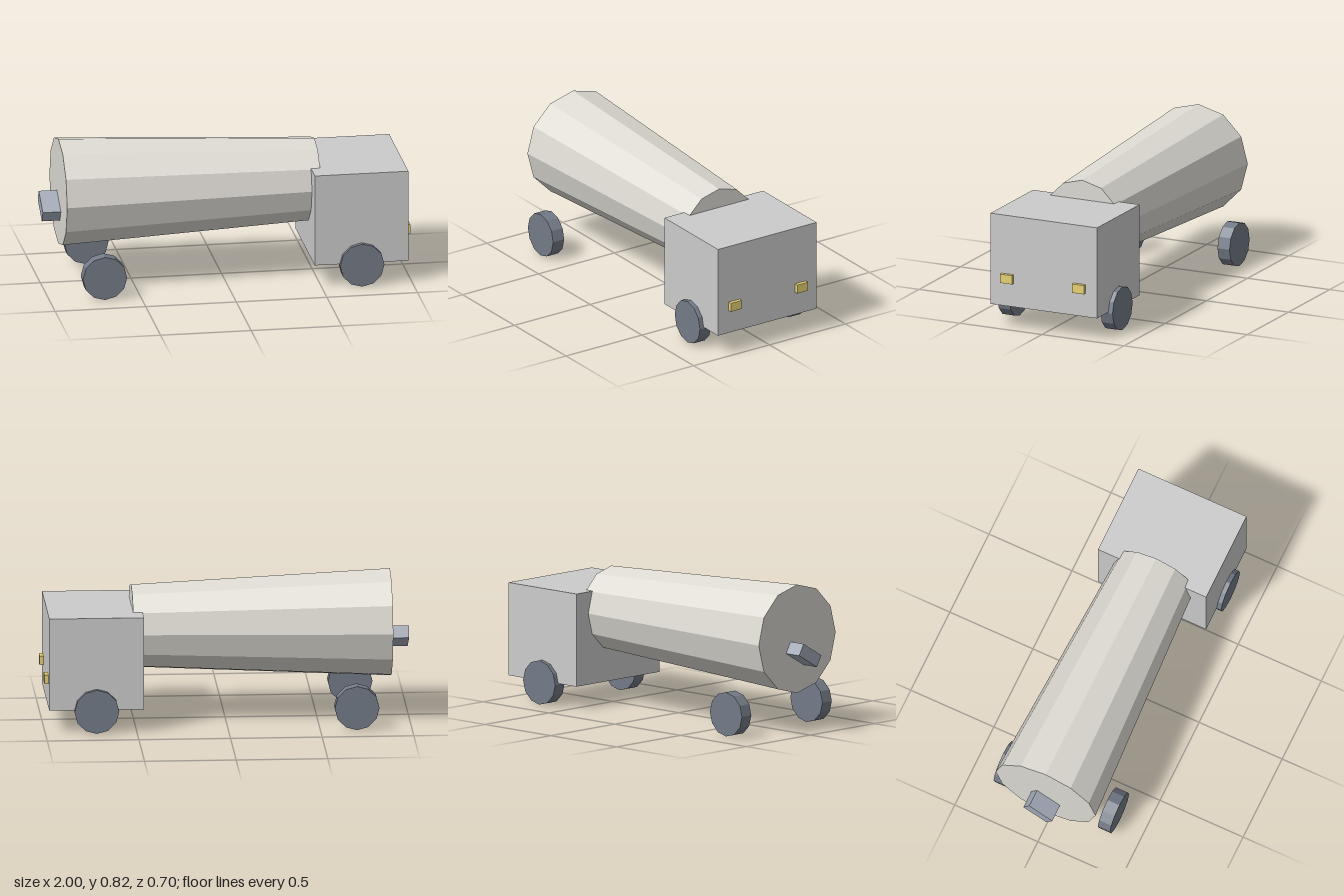
import * as THREE from 'three';

const paint = (color) => new THREE.MeshStandardMaterial({ color, flatShading: true });

export function createModel() {
  const truck = new THREE.Group();
  truck.name = 'tankTruck';

  const add = (name, geometry, material, x, y, z) => {
    const mesh = new THREE.Mesh(geometry, material);
    mesh.name = name;
    mesh.position.set(x, y, z);
    truck.add(mesh);
    return mesh;
  };

  // Cab
  add('cab', new THREE.BoxGeometry(0.517, 0.513, 0.65), paint(0xcccccc), 0.72, 0.384, 0);

  // Tapered twelve-sided tank, wide end at the back
  const tank = new THREE.CylinderGeometry(0.3, 0.23, 1.413, 12).rotateZ(Math.PI / 2);
  add('tank', tank, paint(0xdedbd4), -0.194, 0.52, 0);

  // Tilted chute on the tank's end
  const chute = add('chute', new THREE.BoxGeometry(0.14, 0.07, 0.16), paint(0xa4abb8), -0.93, 0.44, 0);
  chute.rotation.x = Math.PI / 6;

  // Wheels and headlights, mirrored across z
  const wheel = new THREE.CylinderGeometry(0.122, 0.122, 0.073, 12).rotateX(Math.PI / 2);
  const lamp = new THREE.BoxGeometry(0.04, 0.05, 0.072);
  const rubber = paint(0x747b87);
  const yellow = paint(0xe8d275);
  for (const side of [1, -1]) {
    const label = side > 0 ? 'Near' : 'Far';
    add('cabWheel' + label, wheel, rubber, 0.72, 0.122, side * 0.314);
    add('tankWheel' + label, wheel, rubber, -0.7, 0.122, side * 0.314);
    add('headlight' + label, lamp, yellow, 0.98, 0.285, side * 0.219);
  }

  return truck;
}
